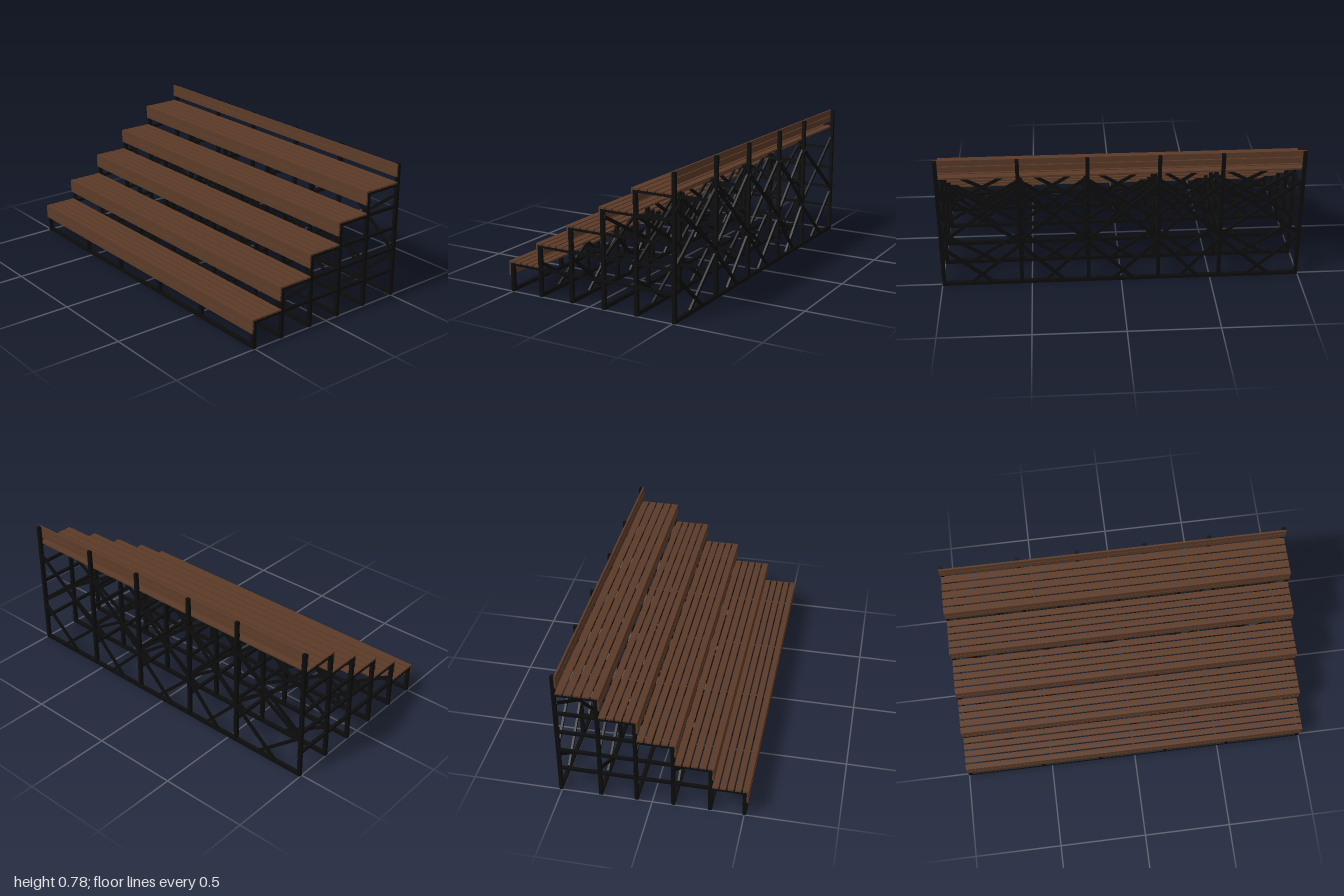
import * as THREE from 'three';

const steel = new THREE.MeshStandardMaterial({ color: 0x0b0c0b });
steel.name = 'black steel';
const wood = new THREE.MeshStandardMaterial({ color: 0x5c3b28 });
wood.name = 'brown wood';

const FRAMES = [-0.99, -0.55, -0.207, 0.182, 0.556, 0.99]; // z of each upright frame
const POSTS = [-0.5, -0.315, -0.115, 0.086, 0.284, 0.507]; // x of each post row
const DECKS = [0.153, 0.28, 0.407, 0.533, 0.658]; // beam height of each tier
const STARTS = [-0.52, -0.335, -0.133, 0.067, 0.266]; // deck front edges
const ENDS = [-0.325, -0.124, 0.076, 0.274, 0.499]; // deck back edges
const BAR = 0.02;

function box(parent, name, material, size, position) {
  const mesh = new THREE.Mesh(new THREE.BoxGeometry(...size), material);
  mesh.name = name;
  mesh.position.set(...position);
  parent.add(mesh);
  return mesh;
}

// diagonal bar in a plane of constant x
function brace(parent, x, z0, y0, z1, y1) {
  const length = Math.hypot(z1 - z0, y1 - y0);
  const mesh = box(parent, 'diagonalBrace', steel, [0.012, 0.017, length],
    [x, (y0 + y1) / 2, (z0 + z1) / 2]);
  mesh.rotation.x = -Math.atan2(y1 - y0, z1 - z0);
}

export function createModel() {
  const model = new THREE.Group();
  model.name = 'bleachers';
  const part = (name) => {
    const group = new THREE.Group();
    group.name = name;
    model.add(group);
    return group;
  };

  // uprights and stepped beams
  const frame = part('supportFrames');
  for (const z of FRAMES) {
    POSTS.forEach((x, i) => {
      const top = i < 5 ? DECKS[i] + 0.007 : 0.778;
      box(frame, 'post', steel, [BAR, top, BAR], [x, top / 2, z]);
    });
    DECKS.forEach((y, i) => {
      const length = POSTS[5] - POSTS[i];
      box(frame, 'deckBeam', steel, [length, 0.014, 0.018], [POSTS[i] + length / 2, y, z]);
    });
  }

  // ground rails along each post row
  const rails = part('groundRails');
  for (const x of POSTS) box(rails, 'groundRail', steel, [BAR, BAR, 1.99], [x, 0.01, 0]);

  // crossed braces: [row, upper high, upper low, lower high]
  const braces = part('crossBraces');
  const rows = [[1, 0, 0, 0.19], [2, 0, 0, 0.25], [3, 0.5, 0.265, 0], [4, 0.53, 0.26, 0.19], [5, 0.6, 0.27, 0.25]];
  for (const [row, high, low, foot] of rows) {
    for (let b = 0; b < FRAMES.length - 1; b++) {
      const a = FRAMES[b], c = FRAMES[b + 1], w = c - a;
      if (high) {
        brace(braces, POSTS[row] - 0.006, a, high, c, low);
        brace(braces, POSTS[row] + 0.006, a, low, c, high);
      }
      if (foot) {
        brace(braces, POSTS[row] - 0.004, a, foot, a + w * 0.63, 0.015);
        brace(braces, POSTS[row] + 0.004, c, foot, c - w * 0.63, 0.015);
      }
    }
  }

  // five deck planks and two fascia planks per tier
  const planks = part('tierPlanks');
  const gap = 0.0085;
  DECKS.forEach((y, i) => {
    const width = (ENDS[i] - STARTS[i] - 4 * gap) / 5;
    for (let k = 0; k < 5; k++) {
      box(planks, 'deckPlank', wood, [width, 0.01, 2],
        [STARTS[i] + width / 2 + k * (width + gap), y + 0.012, 0]);
    }
    for (const drop of [0.009, 0.046]) {
      box(planks, 'fasciaPlank', wood, [0.01, 0.033, 2], [STARTS[i] + 0.005, y - drop, 0]);
    }
  });

  // back rest
  const rest = part('backRest');
  for (const y of [0.723, 0.761]) box(rest, 'backRestPlank', wood, [0.01, 0.034, 2], [0.493, y, 0]);

  return model;
}
